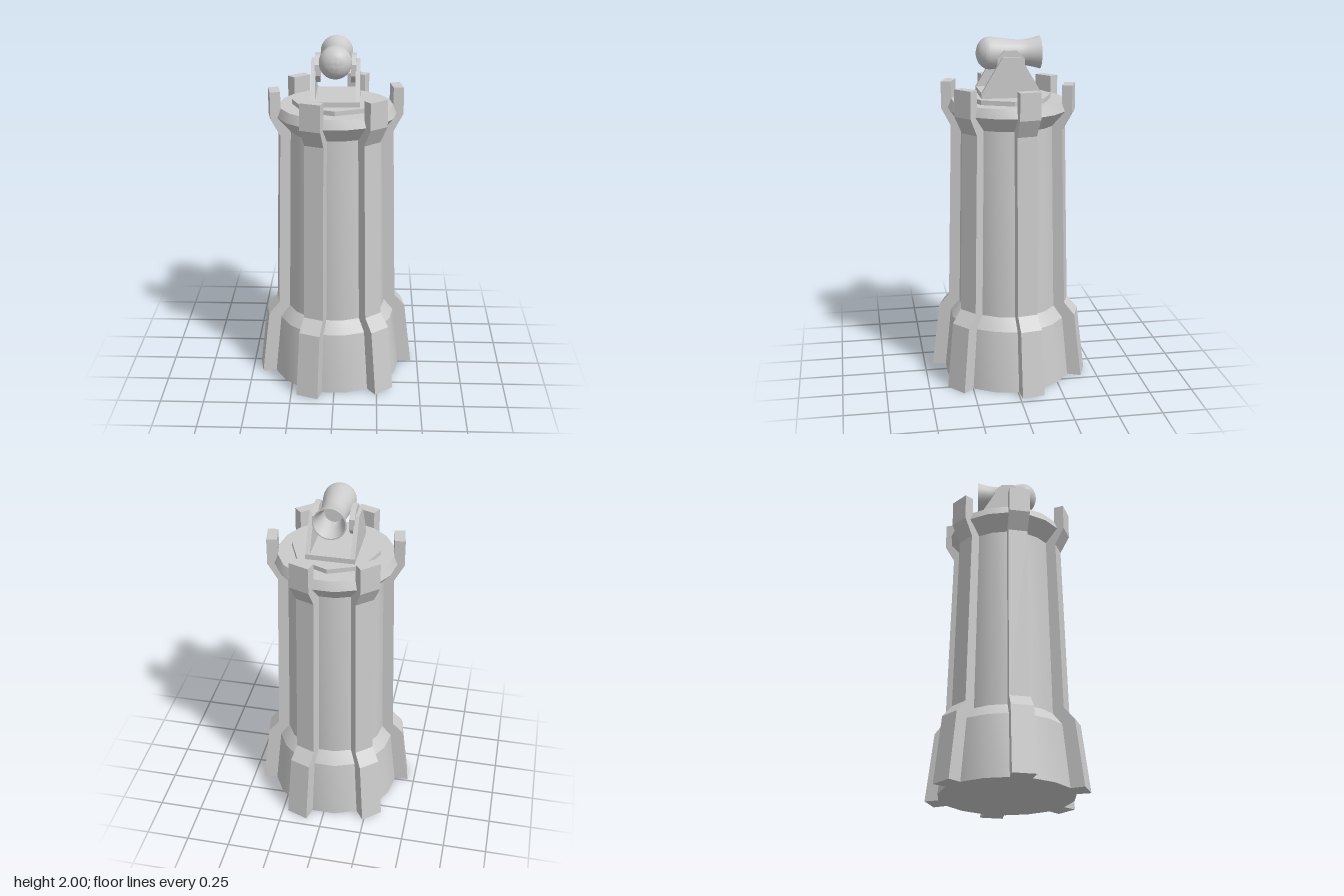
import * as THREE from 'three';
import { toCreasedNormals } from 'three/addons/utils/BufferGeometryUtils.js';

const material = new THREE.MeshStandardMaterial({ color: 0xcccccc });
const points = (list) => list.map(([x, y]) => new THREE.Vector2(x, y));

function addMesh(parent, name, geometry) {
  const mesh = new THREE.Mesh(geometry, material);
  mesh.name = name;
  parent.add(mesh);
  return mesh;
}

// Flat plate: outline in XY, thickness centred on z = 0
function plate(outline, depth) {
  const geometry = new THREE.ExtrudeGeometry(new THREE.Shape(points(outline)), {
    depth, bevelEnabled: false,
  });
  return geometry.translate(0, 0, -depth / 2);
}

// Lathe with hard edges where the profile turns sharply
function turned(profile, segments, crease) {
  const geometry = new THREE.LatheGeometry(points(profile), segments);
  return toCreasedNormals(geometry, THREE.MathUtils.degToRad(crease));
}

// Rib outline in (radius, height); it narrows slightly towards the axis
function buttressGeometry() {
  const geometry = plate([
    [0.25, 0], [0.456, 0], [0.41, 0.385], [0.348, 0.457], [0.321, 1.49],
    [0.375, 1.59], [0.375, 1.742], [0.317, 1.742], [0.317, 1.6], [0.23, 1.5],
  ], 1);
  const p = geometry.attributes.position;
  for (let i = 0; i < p.count; i++) {
    p.setZ(i, p.getZ(i) * (0.112 + 0.147 * (p.getX(i) - 0.317)));
  }
  geometry.computeVertexNormals();
  return geometry;
}

function createCannon() {
  const cannon = new THREE.Group();
  cannon.name = 'cannon';

  // Barrel: bore, flared muzzle at the back, waist and domed breech at the front
  const outside = new THREE.SplineCurve(points([
    [0.092, -0.18], [0.08, -0.135], [0.071, -0.08], [0.076, -0.01],
    [0.086, 0.06], [0.09, 0.105], [0.083, 0.135], [0.052, 0.167], [0, 0.183],
  ])).getPoints(32).map((v) => [Math.max(v.x, 0), v.y]);
  const barrel = turned([[0, -0.06], [0.05, -0.06], [0.06, -0.12], [0.085, -0.18], ...outside], 32, 40);
  barrel.rotateX(Math.PI / 2);
  addMesh(cannon, 'barrel', barrel).position.y = 1.906;

  // Carriage: base slab, two cheeks and eight-sided trunnion blocks
  addMesh(cannon, 'carriageBase', new THREE.BoxGeometry(0.27, 0.03, 0.334)).position.y = 1.687;
  const cheek = plate([
    [-0.167, 1.672], [0.167, 1.672], [0.167, 1.7], [0.05, 1.897], [-0.05, 1.897], [-0.167, 1.7],
  ], 0.025).rotateY(Math.PI / 2);
  const trunnion = toCreasedNormals(new THREE.CylinderGeometry(0.083, 0.083, 0.03, 8), 0.1);
  trunnion.rotateY(Math.PI / 8).rotateZ(Math.PI / 2);
  for (const side of [1, -1]) {
    const label = side > 0 ? 'left' : 'right';
    addMesh(cannon, label + 'Cheek', cheek).position.x = side * 0.1225;
    addMesh(cannon, label + 'Trunnion', trunnion).position.set(side * 0.1, 1.855, 0);
  }
  return cannon;
}

export function createModel() {
  const model = new THREE.Group();
  model.name = 'cannonTower';

  // Eighteen-sided tower: flared foot, tapering shaft and corbelled crown
  const tower = turned([
    [0, 0], [0.38, 0], [0.343, 0.36], [0.29, 0.43], [0.268, 1.51],
    [0.34, 1.595], [0.32, 1.647], [0, 1.647],
  ], 18, 25);
  tower.rotateY(Math.PI / 18);
  addMesh(model, 'tower', tower);

  // Six ribs rising into battlements
  const rib = buttressGeometry();
  for (let i = 0; i < 6; i++) {
    addMesh(model, 'buttress' + (i + 1), rib).rotation.y = THREE.MathUtils.degToRad(10 + 60 * i);
  }

  // Octagonal gun platform
  const platform = toCreasedNormals(new THREE.CylinderGeometry(0.248, 0.248, 0.04, 8), 0.1);
  addMesh(model, 'gunPlatform', platform).position.y = 1.653;

  model.add(createCannon());
  return model;
}
